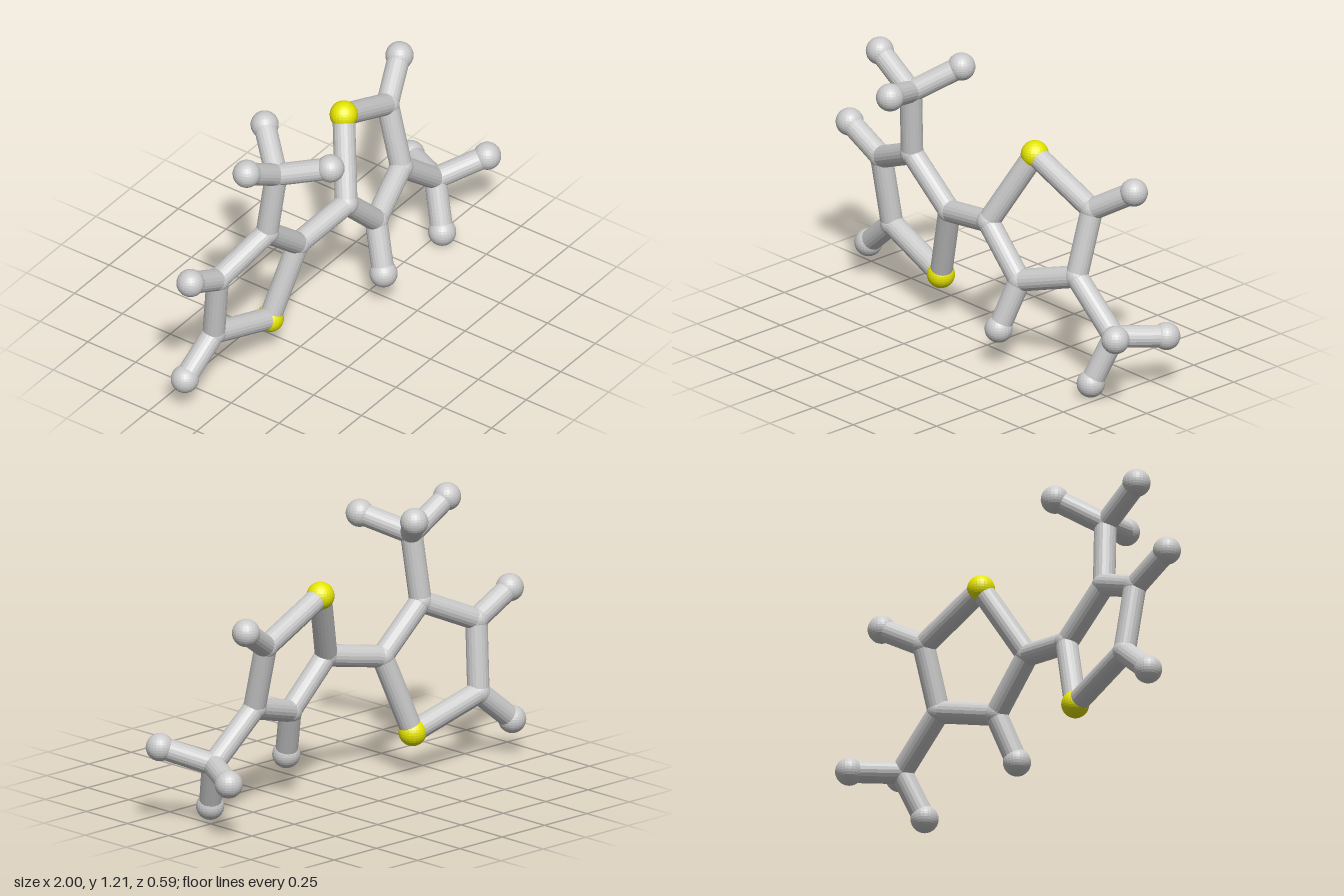
import * as THREE from 'three';

const ATOM_R = 0.06, JOINT_R = 0.052, BOND_R = 0.048;

// Atom centres: carbons are slim joints, hydrogens and sulfurs are balls
const carbons = {
  rLink: [0.04, 0.595, 0.03], rTop: [0.535, 0.765, -0.112], rSide: [0.525, 0.475, -0.033],
  rLow: [0.245, 0.39, 0.038], rMethyl: [0.765, 0.275, -0.028],
  lLink: [-0.25, 0.54, -0.012], lTop: [-0.48, 0.735, -0.008], lSide: [-0.745, 0.615, -0.075],
  lLow: [-0.72, 0.305, -0.113], lMethyl: [-0.455, 1.035, 0.022],
};
const sulfurs = { rSulfur: [0.195, 0.917, -0.095], lSulfur: [-0.37, 0.193, -0.073] };
// Each hydrogen: the carbon it hangs on, then its centre
const hydrogens = [
  ['rTop', [0.72, 0.88, -0.183]], ['rLow', [0.195, 0.173, 0.113]],
  ['rMethyl', [0.935, 0.355, 0.12]], ['rMethyl', [0.87, 0.252, -0.232]], ['rMethyl', [0.705, 0.063, 0.051]],
  ['lSide', [-0.943, 0.715, -0.074]], ['lLow', [-0.895, 0.156, -0.138]],
  ['lMethyl', [-0.658, 1.157, 0.014]], ['lMethyl', [-0.315, 1.147, -0.14]], ['lMethyl', [-0.355, 1.1, 0.233]],
];
const bonds = [
  ['rLink', 'rSulfur'], ['rSulfur', 'rTop'], ['rTop', 'rSide'], ['rSide', 'rLow'], ['rLow', 'rLink'],
  ['lLink', 'lSulfur'], ['lSulfur', 'lLow'], ['lLow', 'lSide'], ['lSide', 'lTop'], ['lTop', 'lLink'],
  ['rLink', 'lLink'], ['rSide', 'rMethyl'], ['lTop', 'lMethyl'],
];

export function createModel() {
  const model = new THREE.Group();
  model.name = 'molecule';
  const grey = new THREE.MeshStandardMaterial({ color: 0xcccccc, flatShading: true });
  const yellow = new THREE.MeshStandardMaterial({ color: 0xe6e600, flatShading: true });
  const ball = new THREE.SphereGeometry(ATOM_R, 24, 16);
  const joint = new THREE.SphereGeometry(JOINT_R, 24, 16);
  const up = new THREE.Vector3(0, 1, 0);

  const addAtom = (name, geometry, material, p) => {
    const mesh = new THREE.Mesh(geometry, material);
    mesh.name = name;
    mesh.position.set(...p);
    model.add(mesh);
  };
  // Cylinder stretched between two atom centres
  const addBond = (name, from, to) => {
    const a = new THREE.Vector3(...from), b = new THREE.Vector3(...to);
    const dir = b.clone().sub(a);
    const mesh = new THREE.Mesh(new THREE.CylinderGeometry(BOND_R, BOND_R, dir.length(), 20), grey);
    mesh.name = name;
    mesh.position.copy(a).add(b).multiplyScalar(0.5);
    mesh.quaternion.setFromUnitVectors(up, dir.normalize());
    model.add(mesh);
  };

  // Ring and methyl carbons, sulfurs, and the frame between them
  for (const p of Object.values(carbons)) addAtom('carbonJoint', joint, grey, p);
  for (const p of Object.values(sulfurs)) addAtom('sulfurAtom', ball, yellow, p);
  const centres = { ...carbons, ...sulfurs };
  for (const [a, b] of bonds) addBond('frameBond', centres[a], centres[b]);

  // Hydrogens on their bonds
  for (const [host, p] of hydrogens) {
    addAtom('hydrogenAtom', ball, grey, p);
    addBond('hydrogenBond', carbons[host], p);
  }
  return model;
}
